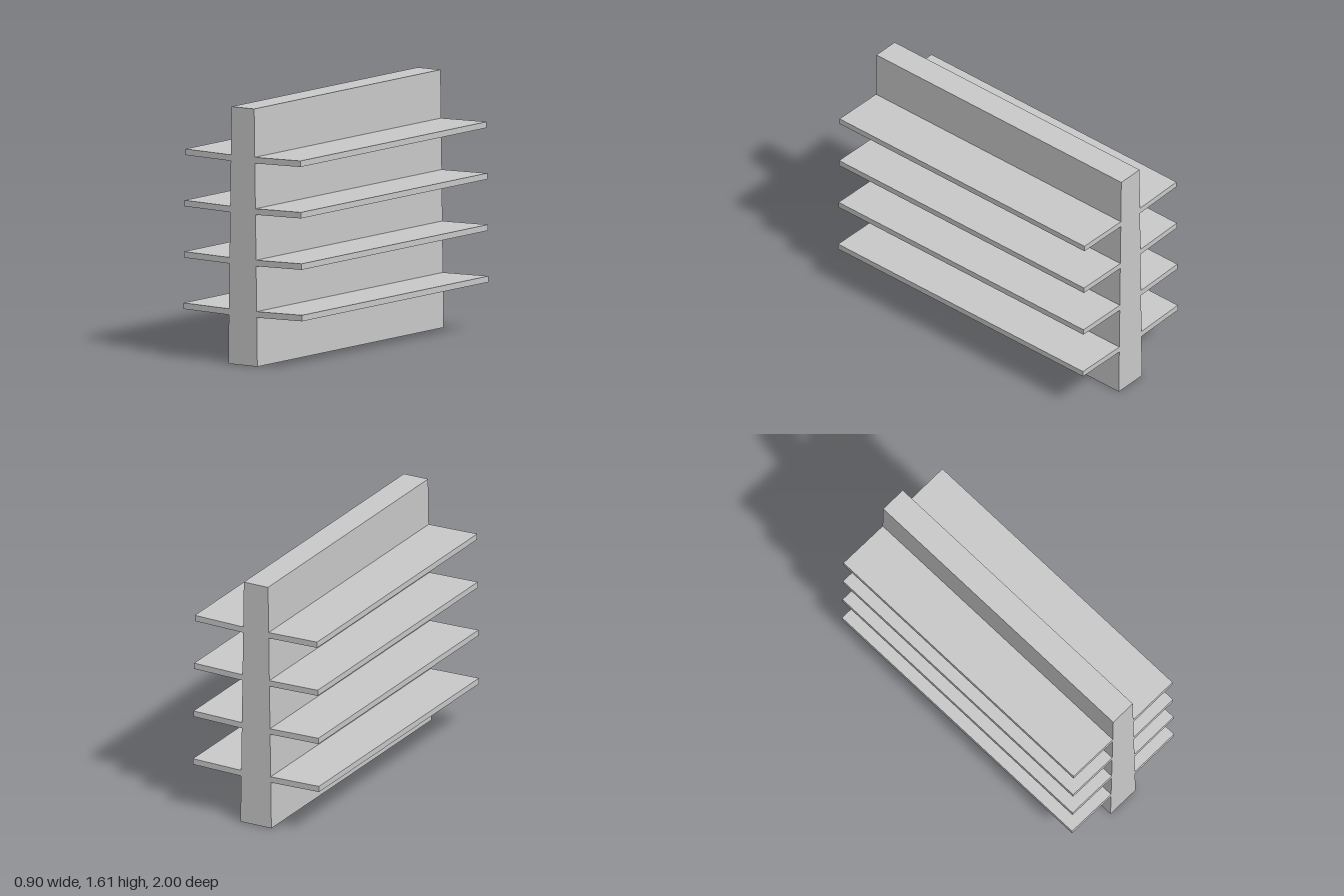
import * as THREE from 'three';

const HEIGHT = 1.61, DEPTH = 2, LEVELS = 4;
const material = new THREE.MeshStandardMaterial({ color: 0xcccccc, side: THREE.DoubleSide, flatShading: true });

// Half width of the tapering column at height y
const halfWidth = (y) => THREE.MathUtils.lerp(0.11, 0.086, y / HEIGHT);

// Thin sheet shell: an x-y outline [bottomLeft, bottomRight, topRight, topLeft]
// swept along z, closed at both ends and open underneath.
function sheetShell(name, outline, withLeftWall) {
  const h = DEPTH / 2;
  const at = (i, z) => [outline[i][0], outline[i][1], z];
  const strip = (i, j) => [at(i, h), at(i, -h), at(j, -h), at(j, h)];
  const quads = [
    [0, 1, 2, 3].map((i) => at(i, h)),   // front end
    [1, 0, 3, 2].map((i) => at(i, -h)),  // back end
    strip(1, 2),                         // outer wall
    strip(2, 3),                         // top
  ];
  if (withLeftWall) quads.push(strip(3, 0));
  const positions = quads.flatMap(([a, b, c, d]) => [a, b, c, a, c, d]).flat();
  const geometry = new THREE.BufferGeometry();
  geometry.setAttribute('position', new THREE.Float32BufferAttribute(positions, 3));
  geometry.computeVertexNormals();
  const mesh = new THREE.Mesh(geometry, material);
  mesh.name = name;
  return mesh;
}

export function createModel() {
  const group = new THREE.Group();
  group.name = 'doubleSidedShelf';

  // Central column, slightly narrower at the top
  const b = halfWidth(0), t = halfWidth(HEIGHT);
  group.add(sheetShell('column', [[-b, 0], [b, 0], [t, HEIGHT], [-t, HEIGHT]], true));

  // Shelves on both sides, tilted up a little towards the outer lip
  for (let i = 0; i < LEVELS; i++) {
    const top = 0.351 + i * 0.3213;
    const outer = 0.449 - i * 0.0045;
    const innerTop = top - 0.007, innerBottom = top - 0.045;
    const outline = [
      [halfWidth(innerBottom), innerBottom],
      [outer, top - 0.038],
      [outer, top],
      [halfWidth(innerTop), innerTop],
    ];
    const left = sheetShell(`leftShelf${i + 1}`, outline, false);
    const right = left.clone();
    right.name = `rightShelf${i + 1}`;
    right.rotation.y = Math.PI;
    group.add(left, right);
  }
  return group;
}
